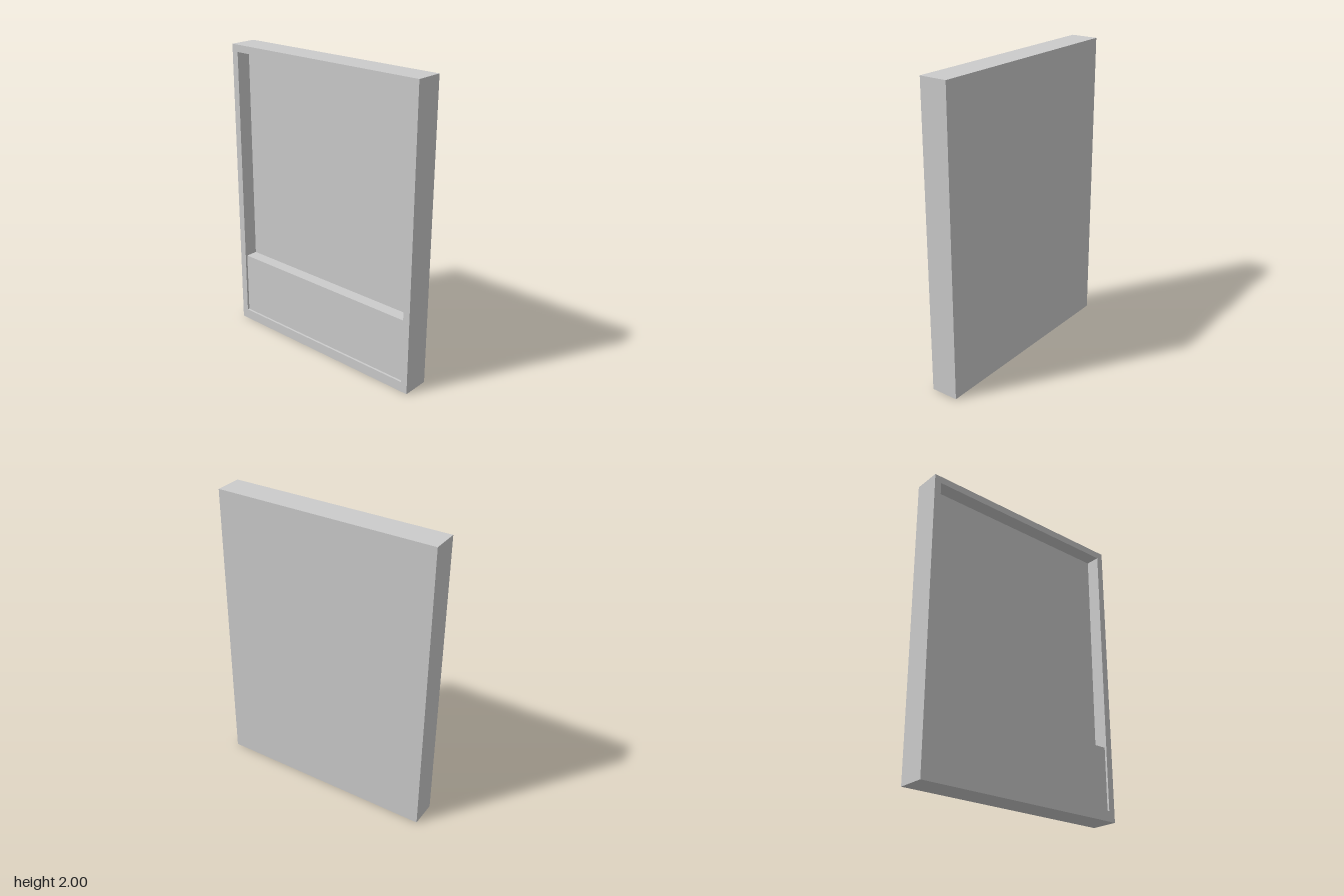
import * as THREE from 'three';

const W = 1.5, H = 2, D = 0.186;          // overall size
const OPEN = { x: 0.703, y0: 0.069, y1: 1.952 }; // opening in the frame
const RECESS = 0.098;                     // depth of the opening
const PANEL_TOP = 0.497, PANEL_INSET = 0.015;

const material = new THREE.MeshStandardMaterial({ color: 0xcccccc, flatShading: true });

function rect(target, x, y0, y1) {
  target.moveTo(-x, y0);
  target.lineTo(x, y0);
  target.lineTo(x, y1);
  target.lineTo(-x, y1);
  target.closePath();
  return target;
}

// Box given by half width and its y and z limits
function slab(name, x, y0, y1, z0, z1) {
  const mesh = new THREE.Mesh(new THREE.BoxGeometry(2 * x, y1 - y0, z1 - z0), material);
  mesh.position.set(0, (y0 + y1) / 2, (z0 + z1) / 2);
  mesh.name = name;
  return mesh;
}

export function createModel() {
  const group = new THREE.Group();
  group.name = 'framedPanel';
  const front = D / 2, floor = front - RECESS;

  // Frame around the recess
  const shape = rect(new THREE.Shape(), W / 2, 0, H);
  shape.holes.push(rect(new THREE.Path(), OPEN.x, OPEN.y0, OPEN.y1));
  const frame = new THREE.Mesh(
    new THREE.ExtrudeGeometry(shape, { depth: RECESS, bevelEnabled: false }), material);
  frame.position.z = floor;
  frame.name = 'frame';
  group.add(frame);

  // Solid back behind the frame
  group.add(slab('backBoard', W / 2, 0, H, -front, floor));

  // Raised lower panel, set slightly behind the frame's face
  group.add(slab('lowerPanel', OPEN.x, OPEN.y0, PANEL_TOP, floor, front - PANEL_INSET));

  return group;
}
